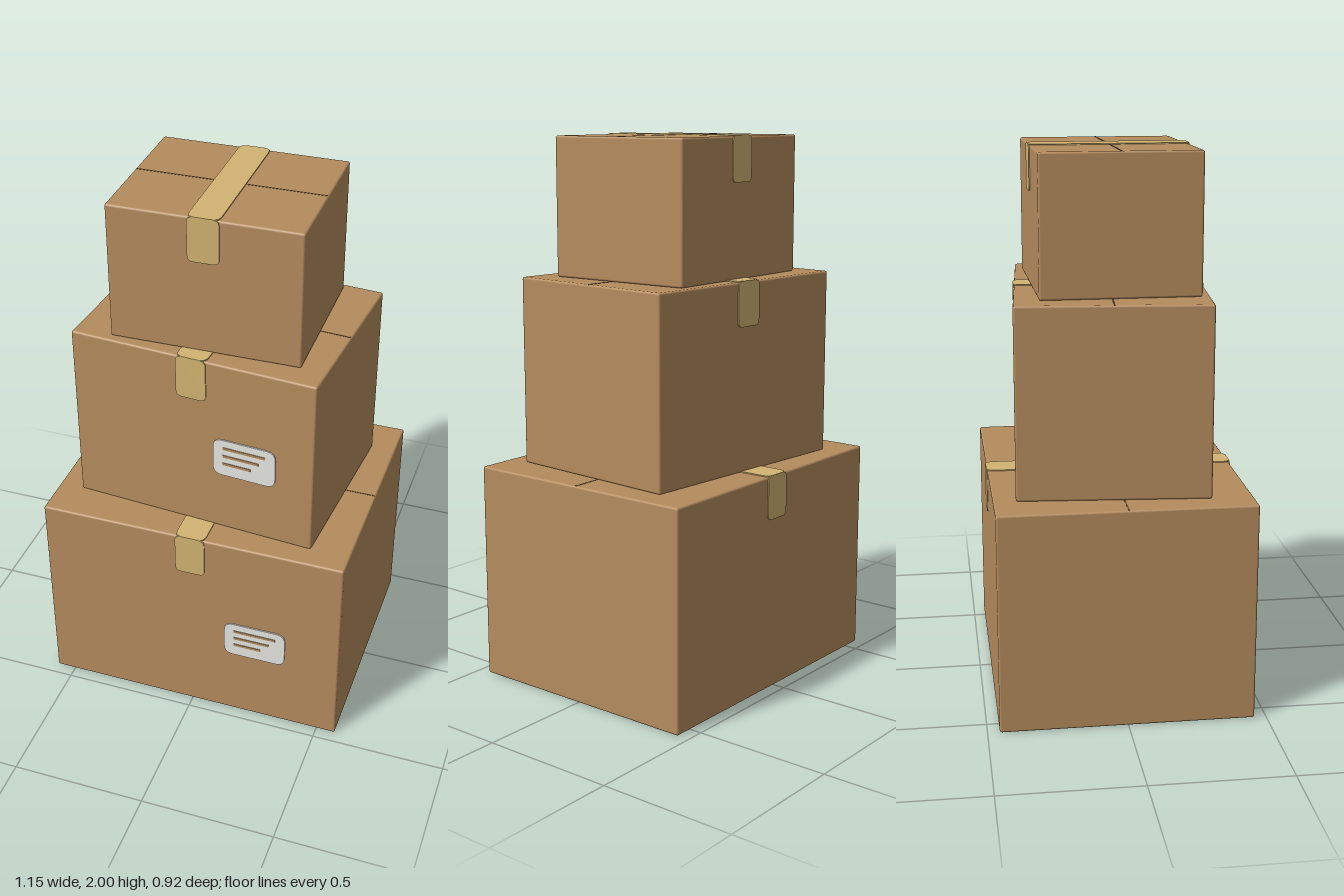
import * as THREE from 'three';
import { RoundedBoxGeometry } from 'three/addons/geometries/RoundedBoxGeometry.js';

const flat = (name, color) => {
  const m = new THREE.MeshStandardMaterial({ color });
  m.name = name;
  return m;
};

// Thin plate with rounded corners, lying in XY with its back on z = 0
function plate(w, h, r, depth) {
  const s = new THREE.Shape();
  const x = w / 2, y = h / 2;
  s.moveTo(-x + r, -y);
  s.lineTo(x - r, -y);
  s.quadraticCurveTo(x, -y, x, -y + r);
  s.lineTo(x, y - r);
  s.quadraticCurveTo(x, y, x - r, y);
  s.lineTo(-x + r, y);
  s.quadraticCurveTo(-x, y, -x, y - r);
  s.lineTo(-x, -y + r);
  s.quadraticCurveTo(-x, -y, -x + r, -y);
  return new THREE.ExtrudeGeometry(s, { depth, bevelEnabled: false, curveSegments: 5 });
}

export function createModel() {
  const cardboard = flat('cardboard', 0xb58c5e);
  const tape = flat('packing tape', 0xd2b472);
  const paper = flat('label paper', 0xf0f0ea);
  const seamBrown = flat('dark seam', 0x6e5032);

  const model = new THREE.Group();
  model.name = 'boxStack';

  const add = (parent, name, geo, mat, x, y, z) => {
    const m = new THREE.Mesh(geo, mat);
    m.name = name;
    m.position.set(x, y, z);
    parent.add(m);
    return m;
  };

  // Shipping label with three printed lines
  function addLabel(parent, x, y, z) {
    const label = new THREE.Group();
    label.name = 'label';
    label.position.set(x, y, z);
    parent.add(label);
    add(label, 'labelPaper', plate(0.235, 0.15, 0.035, 0.005), paper, 0, 0, 0);
    [0.16, 0.135, 0.105].forEach((w, i) =>
      add(label, 'labelLine', new THREE.BoxGeometry(w, 0.01, 0.002), cardboard,
        -0.08 + w / 2, 0.041 - i * 0.033, 0.006));
  }

  function addBox(name, w, h, d, y, turn, labelAt) {
    const box = new THREE.Group();
    box.name = name;
    box.position.y = y;
    box.rotation.y = turn;
    model.add(box);
    add(box, 'carton', new RoundedBoxGeometry(w, h, d, 2, 0.008), cardboard, 0, h / 2, 0);

    // Flap seam across the top
    add(box, 'flapSeam', new THREE.BoxGeometry(w - 0.01, 0.002, 0.005), seamBrown, 0, h, 0);

    // Tape over the top, folded down the front and back
    const strip = add(box, 'topTape', plate(0.112, d + 0.008, 0.03, 0.004), tape, 0, h, 0);
    strip.rotation.x = -Math.PI / 2;
    for (const side of [1, -1]) {
      const fold = add(box, side > 0 ? 'frontTape' : 'backTape',
        plate(0.112, 0.163, 0.022, 0.004), tape, 0, h - 0.0785, side * d / 2);
      if (side < 0) fold.rotation.y = Math.PI;
    }
    if (labelAt) addLabel(box, labelAt[0], labelAt[1], d / 2);
  }

  addBox('bottomBox', 1.146, 0.803, 0.914, 0, 0, [0.25, 0.365]);
  addBox('middleBox', 0.915, 0.69, 0.687, 0.803, -0.078, [0.2, 0.312]);
  addBox('topBox', 0.685, 0.503, 0.571, 1.493, 0.012);
  return model;
}
